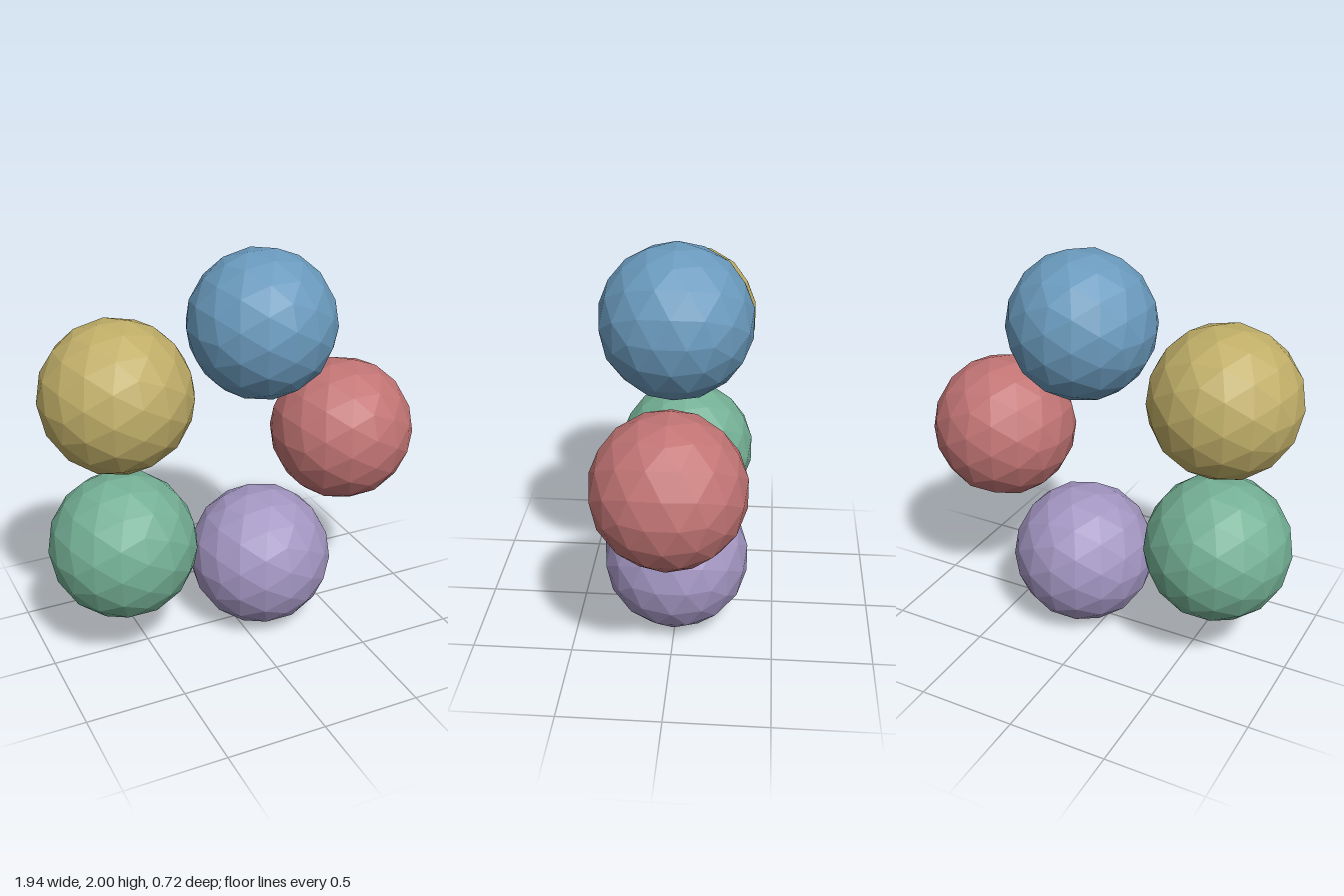
import * as THREE from 'three';

// Five faceted balls standing in an upright ring, evenly spaced around the z axis
export function createModel() {
  const group = new THREE.Group();
  group.name = 'ballRing';

  const ringRadius = 0.671;
  const ballRadius = 0.369;
  const centreX = -0.064;

  const geometry = new THREE.IcosahedronGeometry(ballRadius, 2);
  const balls = [
    ['redBall', 0xc27474],
    ['blueBall', 0x6a9abd],
    ['yellowBall', 0xc0ae68],
    ['greenBall', 0x74b095],
    ['purpleBall', 0xa396c2],
  ];

  balls.forEach(([name, color], i) => {
    const angle = (i / balls.length) * Math.PI * 2;
    const material = new THREE.MeshStandardMaterial({ color, flatShading: true });
    const ball = new THREE.Mesh(geometry, material);
    ball.name = name;
    ball.position.set(
      centreX + Math.cos(angle) * ringRadius,
      1 + Math.sin(angle) * ringRadius,
      0
    );
    group.add(ball);
  });

  return group;
}
